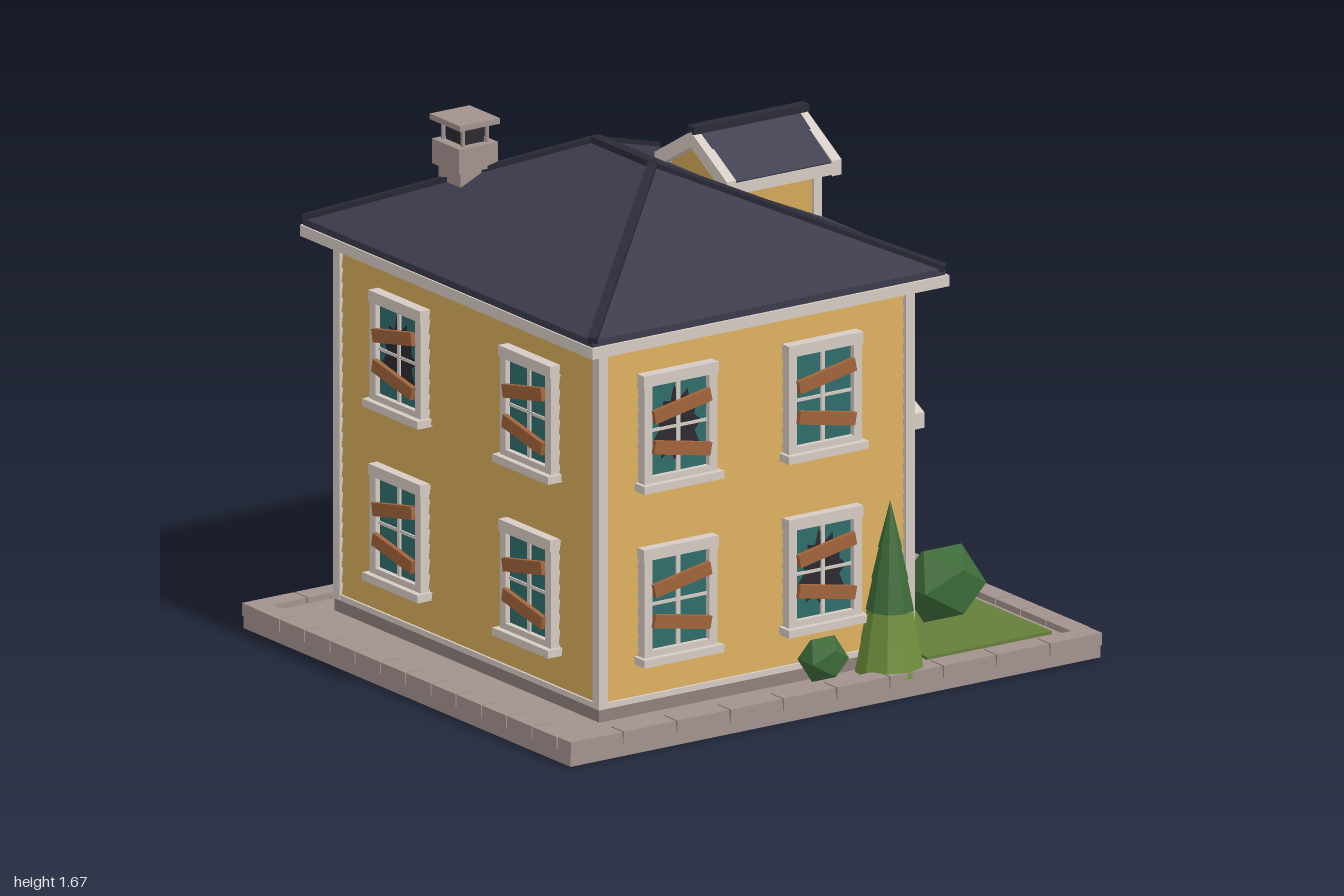
import * as THREE from 'three';
import { ConvexGeometry } from 'three/addons/geometries/ConvexGeometry.js';

const mat = (color) => new THREE.MeshStandardMaterial({ color, flatShading: true });
const M = {
  stone: mat(0xa3928e), stoneDark: mat(0x8f807c), roof: mat(0x3a3a4c), cap: mat(0x2b2b38),
  white: mat(0xd6cbc4), wall: mat(0xd4a95a), plank: mat(0xa0633a), brick: mat(0x95423a),
  lawn: mat(0x657f3a), bush: mat(0x3d6b38), leaf: mat(0x6f8f3c), glass: mat(0x2f6d6a),
  dark: mat(0x2c2a30), shutter: mat(0x3b4360), lamp: mat(0xe0b050),
};
const V = (x, y, z) => new THREE.Vector3(x, y, z);

function add(parent, name, geo, m, x = 0, y = 0, z = 0) {
  const mesh = new THREE.Mesh(geo, m);
  mesh.name = name;
  mesh.position.set(x, y, z);
  parent.add(mesh);
  return mesh;
}
// Box given by its limits on each axis
function box(parent, name, m, x0, x1, y0, y1, z0, z1) {
  return add(parent, name, new THREE.BoxGeometry(x1 - x0, y1 - y0, z1 - z0), m,
    (x0 + x1) / 2, (y0 + y1) / 2, (z0 + z1) / 2);
}
// Square bar between two points
function bar(parent, name, m, a, b, w, h) {
  const mesh = add(parent, name, new THREE.BoxGeometry(w, h, a.distanceTo(b)), m);
  mesh.position.copy(a).lerp(b, 0.5);
  mesh.lookAt(b);
}
function group(parent, name, x = 0, y = 0, z = 0, ry = 0) {
  const g = new THREE.Group();
  g.name = name;
  g.position.set(x, y, z);
  g.rotation.y = ry;
  parent.add(g);
  return g;
}
// Outline in (z, y), extruded along x from x0 to x1
function extrudeX(parent, name, m, pts, x0, x1) {
  const shape = new THREE.Shape(pts.map(([z, y]) => new THREE.Vector2(z, y)));
  const geo = new THREE.ExtrudeGeometry(shape, { depth: x1 - x0, bevelEnabled: false }).rotateY(Math.PI / 2);
  return add(parent, name, geo, m, x0);
}
const chevron = (w, eave, top, t) => [[-w, eave], [-w, eave - t], [0, top - t], [w, eave - t], [w, eave], [0, top]];

// Gable roof along x: dark slab, white rakes and eaves, ridge cap
function gableRoof(g, x0, x1, w, eave, top, backRake) {
  extrudeX(g, 'gableRoof', M.roof, chevron(w - 0.005, eave, top, 0.025), x0 + (backRake ? 0.03 : 0), x1 - 0.03);
  extrudeX(g, 'frontRake', M.white, chevron(w, eave + 0.005, top - 0.005, 0.05), x1 - 0.035, x1);
  if (backRake) extrudeX(g, 'backRake', M.white, chevron(w, eave + 0.005, top - 0.005, 0.05), x0, x0 + 0.035);
  for (const s of [-1, 1]) {
    const a = s * w, b = s * (w - 0.025);
    box(g, 'eaveBoard', M.white, x0, x1, eave - 0.04, eave - 0.004, Math.min(a, b), Math.max(a, b));
  }
  box(g, 'ridgeCap', M.cap, x0, x1 + 0.003, top - 0.012, top + 0.012, -0.018, 0.018);
}

// Boarded window facing +z with its centre at the origin
function boardedWindow(parent, x, y, z, ry, broken) {
  const g = group(parent, 'window', x, y, z, ry);
  box(g, 'glass', M.glass, -0.11, 0.11, -0.16, 0.16, -0.01, 0.012);
  if (broken) {
    const shape = new THREE.Shape(Array.from({ length: 22 }, (_, i) => {
      const a = (i / 22) * Math.PI * 2, k = i % 2 ? 0.66 : 0.9 + 0.1 * Math.sin(i * 2.3);
      return new THREE.Vector2(Math.cos(a) * k * 0.1, Math.sin(a) * k * 0.135);
    }));
    add(g, 'brokenHole', new THREE.ShapeGeometry(shape), M.dark, 0, 0, 0.0135);
  }
  for (const s of [-1, 1]) box(g, 'frameSide', M.white, s * 0.122 - 0.015, s * 0.122 + 0.015, -0.16, 0.17, -0.01, 0.03);
  box(g, 'frameHead', M.white, -0.14, 0.14, 0.148, 0.185, -0.01, 0.034);
  box(g, 'frameFoot', M.white, -0.137, 0.137, -0.17, -0.145, -0.01, 0.03);
  box(g, 'sill', M.white, -0.15, 0.15, -0.19, -0.165, -0.01, 0.05);
  box(g, 'mullion', M.white, -0.007, 0.007, -0.15, 0.15, 0, 0.018);
  box(g, 'transom', M.white, -0.11, 0.11, -0.005, 0.005, 0, 0.017);
  for (const s of [-1, 1]) {
    const p = add(g, 'plank', new THREE.BoxGeometry(0.215, 0.042, 0.016), M.plank, 0, s * 0.068, 0.036);
    p.rotation.z = s * 0.19;
  }
  return g;
}

export function createModel() {
  const root = new THREE.Group();
  root.name = 'house';

  // Plot with a border of stones
  const plot = group(root, 'plot');
  box(plot, 'base', M.stone, -0.995, 0.995, 0, 0.06, -0.88, 0.88);
  for (const s of [-1, 1]) {
    for (let i = 0; i < 10; i++) {
      const x = -1 + i * 0.2, c = s * 0.85;
      box(plot, 'borderStone', M.stone, x + 0.003, x + 0.197, 0.04, 0.08, c - 0.035, c + 0.035);
    }
    for (let i = 0; i < 12; i++) {
      const z = -0.815 + i * 0.1358, c = s * 0.965;
      box(plot, 'borderStone', M.stone, c - 0.035, c + 0.035, 0.04, 0.08, z + 0.003, z + 0.133);
    }
    box(plot, 'lawn', M.lawn, 0.43, 0.9, 0.05, 0.07, s * 0.52 - 0.235, s * 0.52 + 0.235);
  }

  // Plants
  for (const s of [-1, 1]) {
    add(plot, 'bush', new THREE.IcosahedronGeometry(0.135), M.bush, 0.66, 0.205, s * 0.51);
    add(plot, 'smallBush', new THREE.IcosahedronGeometry(0.08), M.bush, 0.02, 0.145, s * 0.785);
    const tree = group(plot, 'tree', 0.275, 0.06, s * 0.78);
    [[0.11, 0.09, 0, 0.1], [0.092, 0.073, 0.1, 0.1], [0.076, 0.055, 0.2, 0.1], [0.058, 0.035, 0.3, 0.1], [0.038, 0, 0.4, 0.15]]
      .forEach(([rb, rt, y, h], i) => add(tree, 'treeTier', new THREE.CylinderGeometry(rt, rb, h, 9),
        i === 1 || i === 0 ? M.leaf : M.bush, 0, y + h / 2, 0));
  }

  // Walls: foundation, clapboards and corner boards
  const CX = -0.18, HX = 0.585, HZ = 0.705;
  const walls = group(root, 'walls');
  box(walls, 'foundation', M.stoneDark, CX - 0.59, CX + 0.59, 0.05, 0.105, -0.712, 0.712);
  box(walls, 'baseTrim', M.white, CX - 0.592, CX + 0.592, 0.1, 0.118, -0.714, 0.714);
  const n = 24, bh = 1.16 / n, r2 = Math.SQRT2;
  for (let i = 0; i < n; i++) {
    const geo = new THREE.CylinderGeometry(r2 * 0.989, r2, bh, 4).rotateY(Math.PI / 4).scale(HX, 1, HZ);
    add(walls, 'clapboard', geo, M.wall, CX, 0.11 + (i + 0.5) * bh, 0);
  }
  for (const sx of [-1, 1]) for (const sz of [-1, 1]) {
    const x = CX + sx * 0.576, z = sz * 0.698;
    box(walls, 'cornerBoard', M.white, x - 0.017, x + 0.017, 0.1, 1.27, z - 0.017, z + 0.017);
  }

  // Hip roof with fascia and ridge caps
  const roof = group(root, 'roof');
  box(roof, 'fascia', M.white, -0.848, 0.492, 1.262, 1.298, -0.787, 0.787);
  const corners = [], hips = [];
  for (const sx of [-1, 1]) for (const sz of [-1, 1]) {
    const x = CX + sx * 0.662, z = sz * 0.778;
    corners.push(V(x, 1.295, z), V(x, 1.32, z));
    hips.push([V(x, 1.32, z), V(CX, 1.615, sz * 0.155)]);
  }
  const ridge = [V(CX, 1.615, -0.155), V(CX, 1.615, 0.155)];
  add(roof, 'hipRoof', new ConvexGeometry([...corners, ...ridge]), M.roof);
  hips.forEach(([a, b]) => bar(roof, 'hipCap', M.cap, a, b, 0.03, 0.022));
  bar(roof, 'ridgeCap', M.cap, ridge[0], ridge[1], 0.036, 0.026);

  // Chimney
  const ch = group(root, 'chimney', -0.467, 0, -0.445);
  box(ch, 'shaft', M.stone, -0.058, 0.058, 1.35, 1.56, -0.06, 0.06);
  box(ch, 'collar', M.stone, -0.073, 0.073, 1.51, 1.59, -0.073, 0.073);
  box(ch, 'flue', M.dark, -0.04, 0.04, 1.58, 1.63, -0.045, 0.045);
  for (const sx of [-1, 1]) for (const sz of [-1, 1])
    box(ch, 'capPost', M.stone, sx * 0.045 - 0.005, sx * 0.045 + 0.005, 1.58, 1.655, sz * 0.053 - 0.005, sz * 0.053 + 0.005);
  box(ch, 'chimneyCap', M.stone, -0.075, 0.075, 1.65, 1.668, -0.082, 0.082);

  // Dormer
  const dm = group(root, 'dormer');
  extrudeX(dm, 'dormerBody', M.wall, [[-0.145, 1.3], [0.145, 1.3], [0.145, 1.5], [0, 1.605], [-0.145, 1.5]], 0.1, 0.445);
  gableRoof(dm, 0.07, 0.5, 0.195, 1.515, 1.64, true);
  for (const s of [-1, 1]) box(dm, 'dormerPost', M.white, 0.425, 0.455, 1.3, 1.5, s * 0.143 - 0.013, s * 0.143 + 0.013);
  box(dm, 'dormerFrame', M.white, 0.44, 0.462, 1.31, 1.515, -0.1, 0.1);
  for (const s of [-1, 1]) for (const y of [1.375, 1.448])
    box(dm, 'dormerPane', M.dark, 0.45, 0.466, y - 0.033, y + 0.033, s * 0.036 - 0.031, s * 0.036 + 0.031);
  box(dm, 'dormerSill', M.white, 0.44, 0.48, 1.3, 1.318, -0.115, 0.115);

  // Windows on all four sides; the listed ones are broken
  const win = group(root, 'windows');
  [0.41, 0.97].forEach((y, up) => {
    [-0.48, 0.063].forEach((x, i) => {
      boardedWindow(win, x, y, HZ, 0, up !== i);
      boardedWindow(win, x, y, -HZ, Math.PI, !up && !i);
    });
    for (const s of [-1, 1]) {
      boardedWindow(win, CX - HX, y, s * 0.35, -Math.PI / 2, up && s < 0);
      const w = boardedWindow(win, CX + HX, y, s * 0.388, Math.PI / 2, up ? s > 0 : s < 0);
      // Shutters and flower boxes on the entrance side
      for (const k of [-1, 1]) {
        box(w, 'shutter', M.shutter, k * 0.178 - 0.042, k * 0.178 + 0.042, -0.168, 0.168, -0.01, 0.018);
        box(w, 'shutterPanel', M.dark, k * 0.178 - 0.03, k * 0.178 + 0.03, -0.153, 0.153, 0, 0.022);
      }
      if (up) for (let i = -2; i <= 2; i++)
        add(w, 'windowPlant', new THREE.IcosahedronGeometry(0.025, 1), M.bush, i * 0.042, -0.183, 0.045);
    }
  });

  // Door, with panels and lanterns
  const door = group(root, 'door', CX + HX, 0, 0, Math.PI / 2);
  box(door, 'doorFrame', M.white, -0.15, 0.15, 0.12, 0.615, -0.01, 0.02);
  box(door, 'doorLeaf', M.dark, -0.115, 0.115, 0.125, 0.585, 0, 0.027);
  for (const s of [-1, 1]) {
    [[0.51, 0.033, M.glass], [0.36, 0.045, M.dark], [0.22, 0.045, M.dark]].forEach(([y, h, m]) => {
      const x = s * 0.053;
      box(door, 'panelFrame', M.plank, x - 0.036, x + 0.036, y - h, y + h, 0.02, 0.033);
      box(door, 'panel', m, x - 0.025, x + 0.025, y - h + 0.011, y + h - 0.011, 0.02, 0.036);
    });
    const l = group(door, 'lantern', s * 0.18, 0.49, 0.075);
    box(l, 'lanternArm', M.dark, -0.006, 0.006, 0.035, 0.045, -0.08, 0.005);
    add(l, 'lanternGlass', new THREE.CylinderGeometry(0.018, 0.012, 0.05, 6), M.lamp);
    add(l, 'lanternTop', new THREE.ConeGeometry(0.026, 0.03, 6), M.dark, 0, 0.038, 0);
    add(l, 'lanternFoot', new THREE.CylinderGeometry(0.014, 0.008, 0.015, 6), M.dark, 0, -0.032, 0);
  }
  add(door, 'doorKnob', new THREE.IcosahedronGeometry(0.01, 1), M.lamp, -0.1, 0.33, 0.035);

  // Porch: floor, steps, posts, railings and gable
  const porch = group(root, 'porch');
  box(porch, 'porchFloor', M.brick, 0.4, 0.735, 0.05, 0.133, -0.22, 0.22);
  box(porch, 'upperStep', M.brick, 0.73, 0.815, 0.05, 0.104, -0.195, 0.195);
  box(porch, 'lowerStep', M.brick, 0.81, 0.89, 0.05, 0.076, -0.195, 0.195);
  for (const s of [-1, 1]) {
    const z = s * 0.212;
    for (const x of [0.425, 0.667]) {
      box(porch, 'post', M.white, x - 0.015, x + 0.015, 0.13, 0.65, z - 0.017, z + 0.017);
      for (const y of [0.13, 0.625]) box(porch, 'postBlock', M.white, x - 0.022, x + 0.022, y, y + 0.025, z - 0.025, z + 0.025);
    }
    for (const y of [0.165, 0.305]) box(porch, 'rail', M.white, 0.42, 0.667, y - 0.01, y + 0.01, z - 0.012, z + 0.012);
    for (let i = 1; i < 6; i++) {
      const x = 0.425 + i * 0.04;
      box(porch, 'baluster', M.white, x - 0.006, x + 0.006, 0.165, 0.305, z - 0.006, z + 0.006);
    }
    box(porch, 'beam', M.white, 0.41, 0.695, 0.64, 0.672, z - 0.02, z + 0.02);
  }
  extrudeX(porch, 'pediment', M.wall, [[-0.23, 0.655], [0.23, 0.655], [0, 0.81]], 0.4, 0.68);
  for (let i = 1; i < 3; i++) {
    const y = 0.655 + i * 0.045, w = 0.23 * (1 - (i * 0.045) / 0.155) - 0.01;
    box(porch, 'pedimentBoard', M.wall, 0.67, 0.684, y - 0.045, y - 0.003, -w, w);
  }
  gableRoof(porch, 0.405, 0.735, 0.305, 0.685, 0.845, false);

  // Things left on the porch
  box(porch, 'parcel', M.plank, 0.655, 0.725, 0.11, 0.185, 0.165, 0.235);
  box(porch, 'book', M.glass, 0.65, 0.72, 0.133, 0.152, 0.08, 0.145);
  return root;
}
